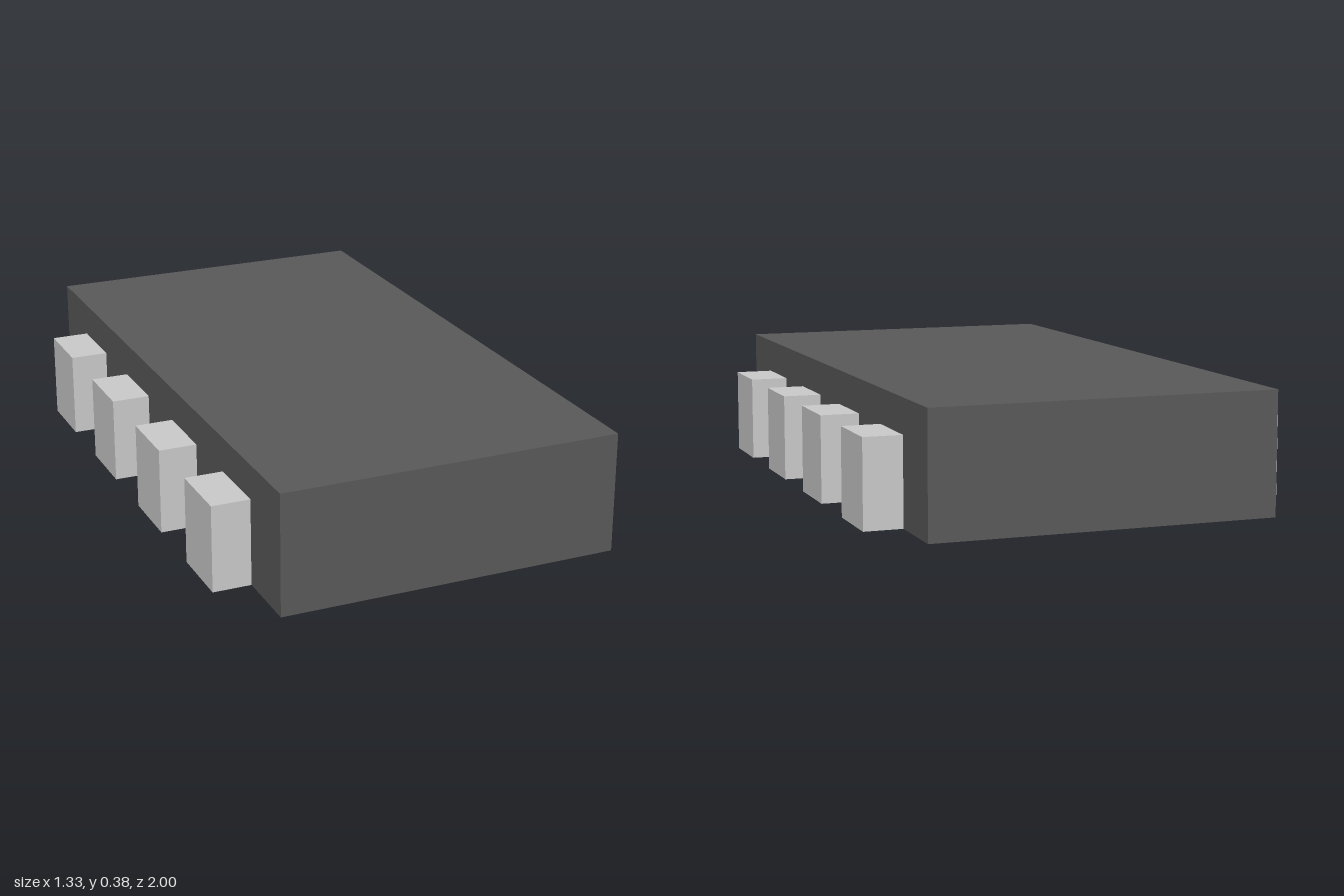
import * as THREE from 'three';

export function createModel() {
  const model = new THREE.Group();
  model.name = 'chipPackage';

  const bodyMaterial = new THREE.MeshStandardMaterial({ color: 0x5a5a5a });
  const pinMaterial = new THREE.MeshStandardMaterial({ color: 0xcccccc });

  // Flat rectangular body
  const bodyWidth = 1.088, bodyHeight = 0.384, bodyLength = 2;
  const body = new THREE.Mesh(new THREE.BoxGeometry(bodyWidth, bodyHeight, bodyLength), bodyMaterial);
  body.name = 'body';
  body.position.y = bodyHeight / 2;
  model.add(body);

  // Four evenly spaced pins along each long side
  const pinWidth = 0.122, pinHeight = 0.275, pinLength = 0.22, pitch = 0.445;
  const pinGeometry = new THREE.BoxGeometry(pinWidth, pinHeight, pinLength);
  for (const side of [-1, 1]) {
    const row = new THREE.Group();
    row.name = side > 0 ? 'leftPins' : 'rightPins';
    for (let i = 0; i < 4; i++) {
      const pin = new THREE.Mesh(pinGeometry, pinMaterial);
      pin.name = 'pin';
      pin.position.set(side * (bodyWidth + pinWidth) / 2, pinHeight / 2, (i - 1.5) * pitch);
      row.add(pin);
    }
    model.add(row);
  }

  return model;
}
